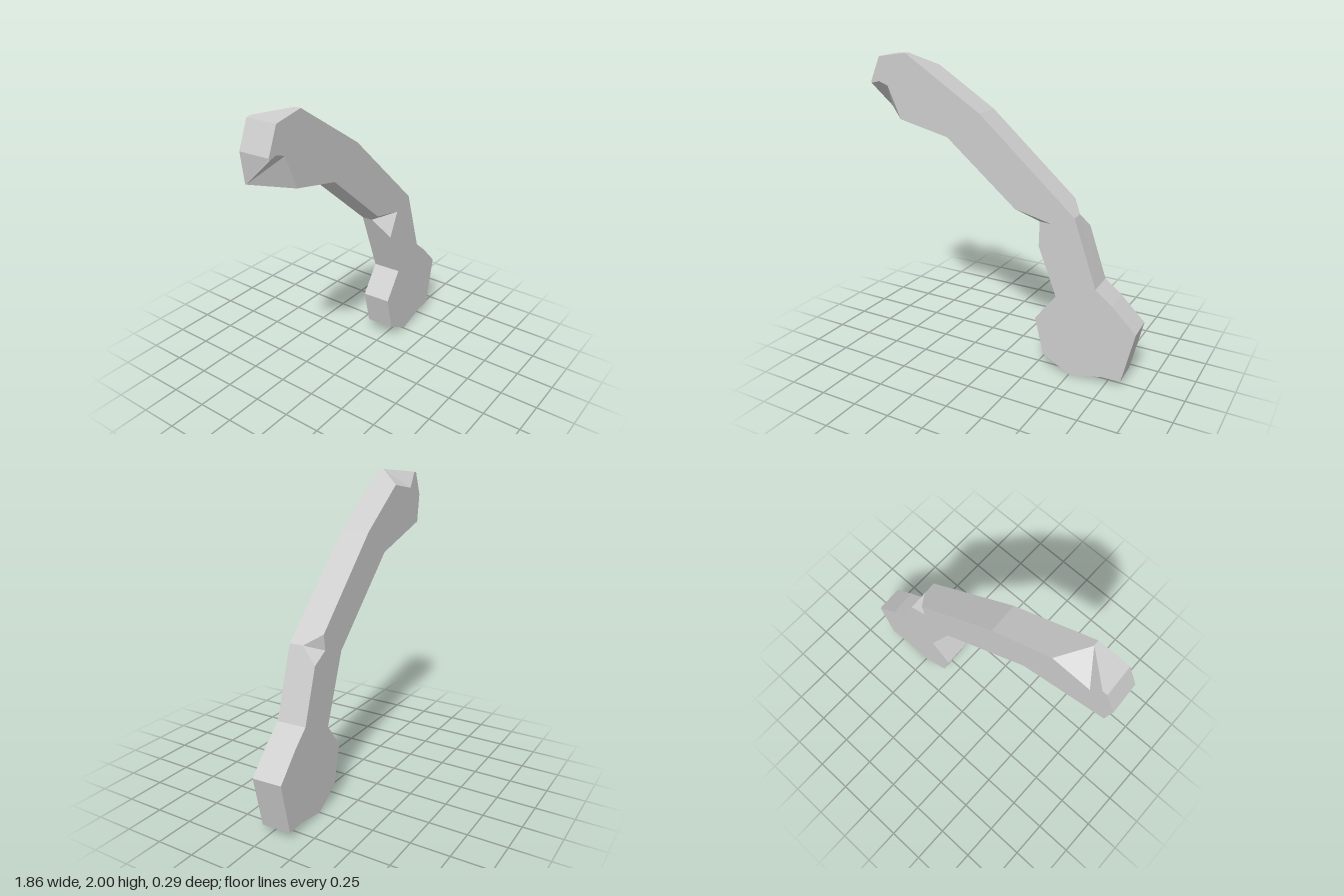
import * as THREE from 'three';

const HALF = 0.096; // half the slab thickness

// Outline corners, counter-clockwise. A chipped corner also has a chain of
// points on the chipped side and the depth z where the chip meets the edge.
const corners = [
  { p: [0.505, 0] }, { p: [0.725, 0.045] }, { p: [0.845, 0.045] }, { p: [0.925, 0.39] },
  { p: [0.765, 0.55] }, { p: [0.655, 0.64] },
  { p: [0.505, 1.08], back: [[0.54, 0.98], [0.42, 1.04], [0.435, 1.143]], z: 0.005 },
  { p: [-0.135, 1.66] },
  { p: [-0.66, 2.0], back: [[-0.525, 1.913], [-0.77, 1.87], [-0.83, 1.975]], z: 0.06 },
  { p: [-0.86, 1.97] }, { p: [-0.93, 1.81] },
  { p: [-0.905, 1.62], front: [[-0.929, 1.795], [-0.87, 1.81], [-0.805, 1.785], [-0.715, 1.574]], z: -0.09 },
  { p: [-0.37, 1.49] },
  { p: [0.225, 0.98], front: [[0.105, 1.083], [0.355, 1.02], [0.272, 0.86]], z: -0.025 },
  { p: [0.395, 0.54] }, { p: [0.255, 0.36] }, { p: [0.315, 0.11] },
];

function buildSlab() {
  const positions = [];
  const tri = (a, b, c) => positions.push(...a, ...b, ...c);
  const at = (list, z) => list.map(([x, y]) => [x, y, z]);
  const rings = corners.map((c) => ({
    f: at(c.front || [c.p], HALF),
    b: at(c.back || [c.p], -HALF),
    tip: c.z === undefined ? [] : [[...c.p, c.z]],
  }));

  rings.forEach((r, i) => {
    const n = rings[(i + 1) % rings.length];
    // edge face between neighbouring corners
    const poly = [r.f.at(-1), ...r.tip, r.b.at(-1), n.b[0], ...n.tip, n.f[0]];
    for (let k = 1; k < poly.length - 1; k++) tri(poly[0], poly[k], poly[k + 1]);
    // facets of the chips
    for (let k = 0; k < r.b.length - 1; k++) tri(r.tip[0], r.b[k], r.b[k + 1]);
    for (let k = 0; k < r.f.length - 1; k++) tri(r.tip[0], r.f[k + 1], r.f[k]);
  });

  // broad front and back faces
  for (const side of ['f', 'b']) {
    const pts = rings.flatMap((r) => r[side]);
    const flat = pts.map(([x, y]) => new THREE.Vector2(x, y));
    for (const [a, b, c] of THREE.ShapeUtils.triangulateShape(flat, [])) {
      if (side === 'f') tri(pts[a], pts[b], pts[c]);
      else tri(pts[a], pts[c], pts[b]);
    }
  }

  const geometry = new THREE.BufferGeometry();
  geometry.setAttribute('position', new THREE.Float32BufferAttribute(positions, 3));
  geometry.computeVertexNormals();
  return geometry;
}

export function createModel() {
  const group = new THREE.Group();
  group.name = 'chippedClub';
  const grey = new THREE.MeshStandardMaterial({ color: 0xcccccc });
  grey.name = 'light grey';
  const club = new THREE.Mesh(buildSlab(), grey);
  club.name = 'club';
  club.rotation.y = 0.051; // slight yaw of the whole slab
  group.add(club);
  return group;
}
